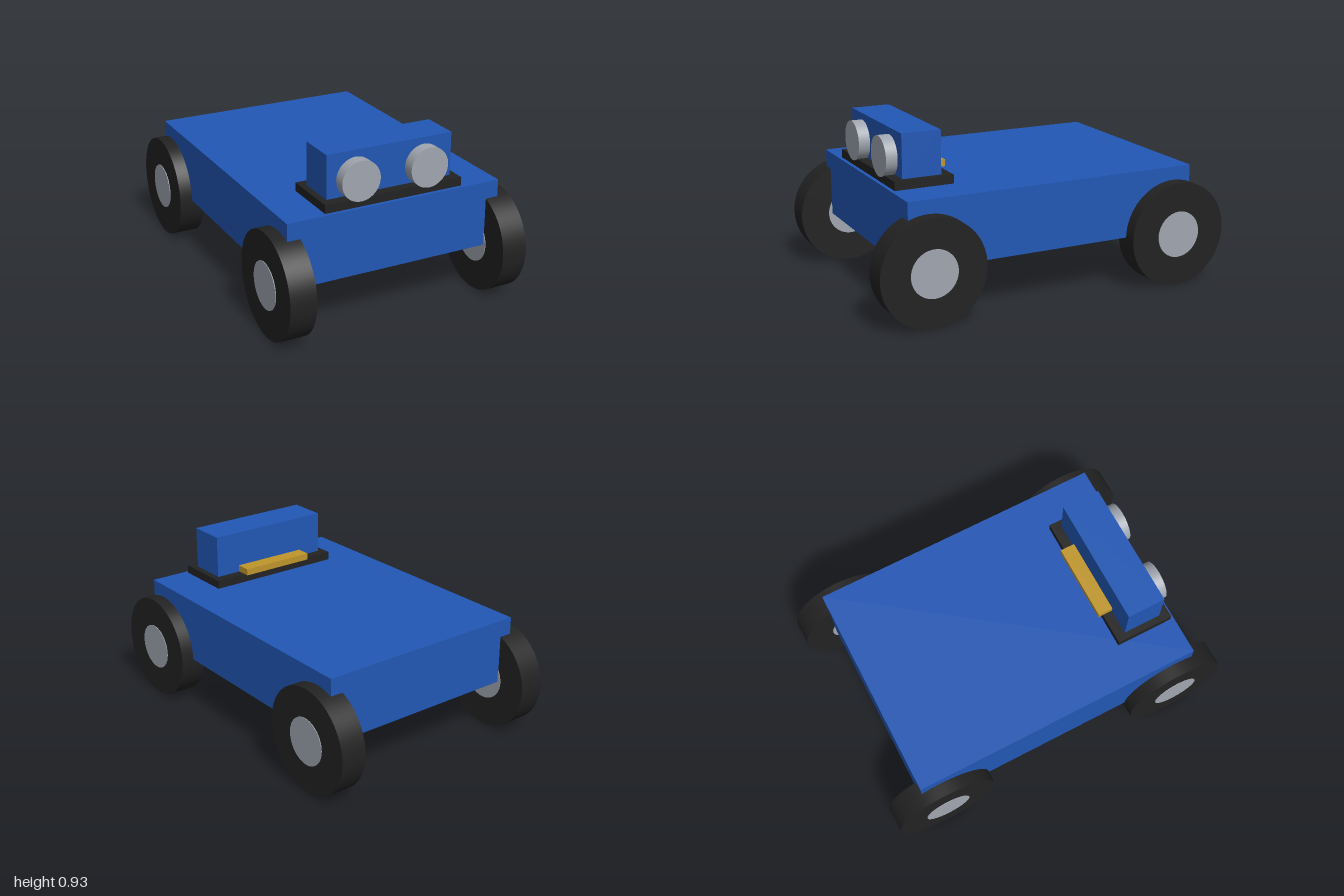
import * as THREE from 'three';

const material = (name, color) => {
  const m = new THREE.MeshStandardMaterial({ color });
  m.name = name;
  return m;
};

export function createModel() {
  const blue = material('blue', 0x2157b5);
  const black = material('black', 0x222222);
  const grey = material('grey', 0xa0a6b0);
  const gold = material('gold', 0xc0962c);
  const model = new THREE.Group();
  model.name = 'rover';

  const add = (name, geometry, mat, x, y, z) => {
    const mesh = new THREE.Mesh(geometry, mat);
    mesh.name = name;
    mesh.position.set(x, y, z);
    model.add(mesh);
    return mesh;
  };
  // Box given by its half width and its y and z ranges
  const box = (name, mat, halfX, y0, y1, z0, z1) =>
    add(name, new THREE.BoxGeometry(2 * halfX, y1 - y0, z1 - z0), mat, 0, (y0 + y1) / 2, (z0 + z1) / 2);

  box('chassis', blue, 0.607, 0.288, 0.645, -0.821, 0.821);

  // Sensor unit on the front of the deck
  box('sensorBase', black, 0.391, 0.645, 0.691, 0.476, 0.8);
  box('sensorHousing', blue, 0.356, 0.691, 0.925, 0.531, 0.745);
  box('connector', gold, 0.214, 0.692, 0.729, 0.448, 0.531);

  // Tyres and hubs, with the axles along x
  const tyre = new THREE.CylinderGeometry(0.286, 0.286, 0.142, 64).rotateZ(Math.PI / 2);
  const hub = new THREE.CylinderGeometry(0.127, 0.127, 0.149, 48).rotateZ(Math.PI / 2);
  const eye = new THREE.CylinderGeometry(0.107, 0.107, 0.064, 48).rotateX(Math.PI / 2);
  for (const side of [-1, 1]) {
    const label = side > 0 ? 'left' : 'right';
    for (const end of [-1, 1]) {
      const place = label + (end > 0 ? 'Front' : 'Back');
      add(place + 'Tyre', tyre, black, side * 0.607, 0.286, end * 0.714);
      add(place + 'Hub', hub, grey, side * 0.607, 0.286, end * 0.714);
    }
    // Round sensor eye
    add(label + 'SensorEye', eye, grey, side * 0.195, 0.782, 0.776);
  }
  return model;
}
